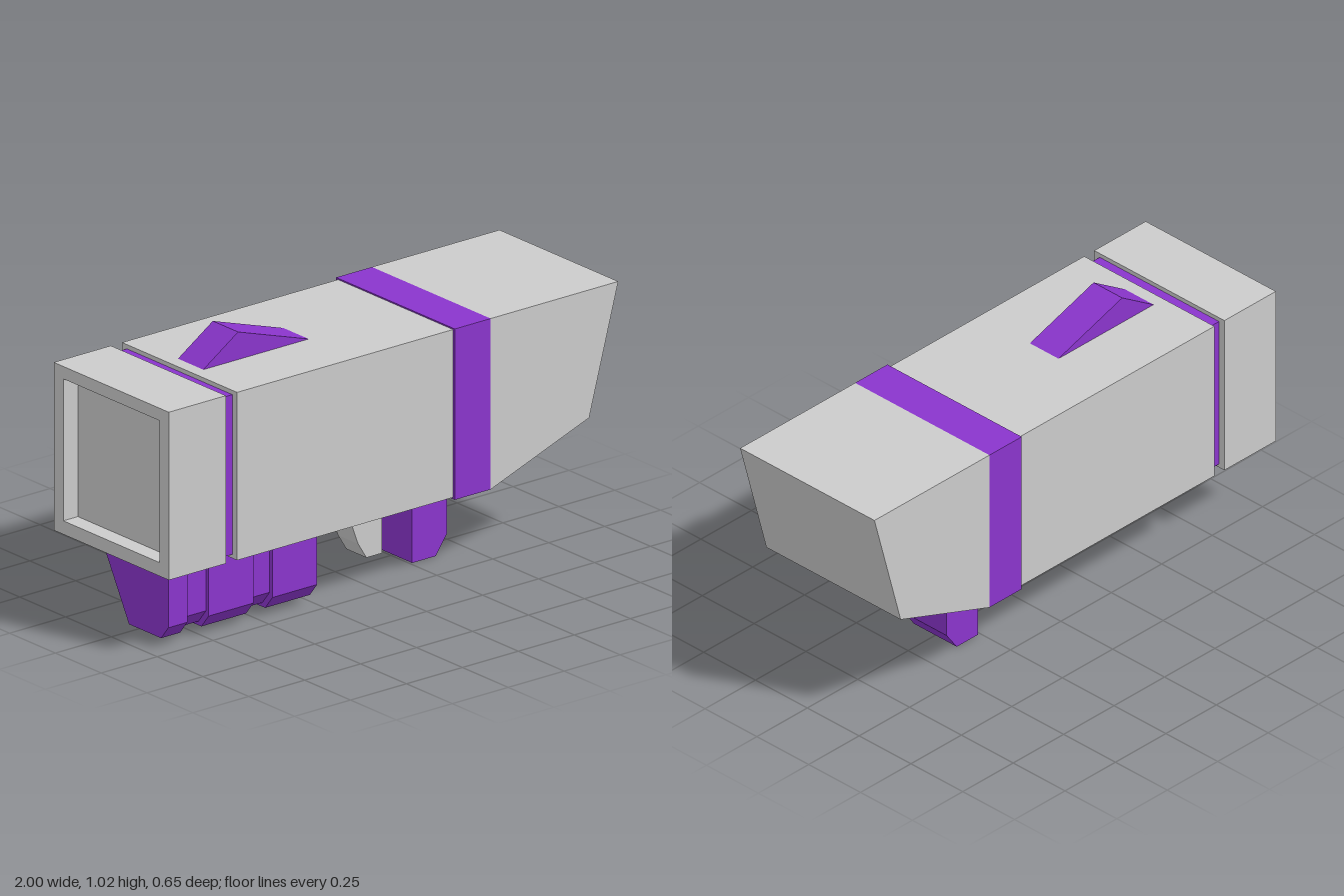
import * as THREE from 'three';

const grey = new THREE.MeshStandardMaterial({ color: 0xcccccc, flatShading: true });
const purple = new THREE.MeshStandardMaterial({ color: 0x8a35cc, flatShading: true });

const toShape = (pts) => new THREE.Shape(pts.map(([a, b]) => new THREE.Vector2(a, b)));

const rect = (a0, a1, b0, b1) => [[a0, b0], [a1, b0], [a1, b1], [a0, b1]];

export function createModel() {
  const model = new THREE.Group();

  const add = (name, geometry, material, parent = model) => {
    const mesh = new THREE.Mesh(geometry, material);
    mesh.name = name;
    parent.add(mesh);
    return mesh;
  };

  // Side profile (x, y) extruded across z, centred
  const sideways = (pts, halfWidth) =>
    new THREE.ExtrudeGeometry(toShape(pts), { depth: halfWidth * 2, bevelEnabled: false })
      .translate(0, 0, -halfWidth);

  // Cross-section (z, y) extruded along x from x0 to x1
  const lengthways = (shape, x0, x1) =>
    new THREE.ExtrudeGeometry(shape, { depth: x1 - x0, bevelEnabled: false })
      .rotateY(-Math.PI / 2)
      .translate(x1, 0, 0);

  // Main housing
  add('body', sideways(rect(-0.695, 0.27, 0.302, 0.923), 0.314), grey);
  add('neck', sideways(rect(-0.745, -0.695, 0.316, 0.907), 0.288), purple);
  add('band', sideways(rect(0.27, 0.43, 0.296, 0.928), 0.324), purple);
  add('nose', sideways([[0.43, 0.296], [0.87, 0.455], [1, 0.928], [0.43, 0.928]], 0.324), grey);

  // Rear block with a shallow recess in its end
  const rear = new THREE.Group();
  rear.name = 'rearSection';
  model.add(rear);
  add('rearBlock', sideways(rect(-0.935, -0.745, 0.302, 0.923), 0.314), grey, rear);
  const frame = toShape(rect(-0.314, 0.314, 0.302, 0.923));
  frame.holes.push(toShape(rect(-0.262, 0.262, 0.352, 0.877)));
  add('rearFrame', lengthways(frame, -1, -0.935), grey, rear);

  // Wedge on the top
  add('topFin', sideways([[-0.65, 0.92], [-0.165, 0.92], [-0.49, 1.025]], 0.069), purple);

  // Underside parts
  add('frontHandle', sideways(
    [[0.26, 0], [0.365, 0], [0.415, 0.07], [0.415, 0.3], [0.26, 0.3]], 0.103), purple);
  add('trigger', sideways(
    [[0.03, 0.305], [0.03, 0.18], [0.058, 0.105], [0.095, 0.045], [0.165, 0.045], [0.165, 0.305]],
    0.055), grey);

  // Grip in alternating full and slightly inset segments
  const grip = new THREE.Group();
  grip.name = 'grip';
  model.add(grip);
  const cuts = [-0.925, -0.84, -0.745, -0.545, -0.46, -0.26];
  for (let i = 0; i < cuts.length - 1; i++) {
    const d = i % 2 ? 0.015 : 0;
    const section = toShape([
      [0.22 - d, 0.303], [0.22 - d, 0.08 + d], [0.18 - d, 0.03 + d],
      [0.005 + d, 0.03 + d], [-0.145 + d, 0.303],
    ]);
    add(i % 2 ? 'gripGroove' : 'gripSegment', lengthways(section, cuts[i], cuts[i + 1]), purple, grip);
  }

  return model;
}
